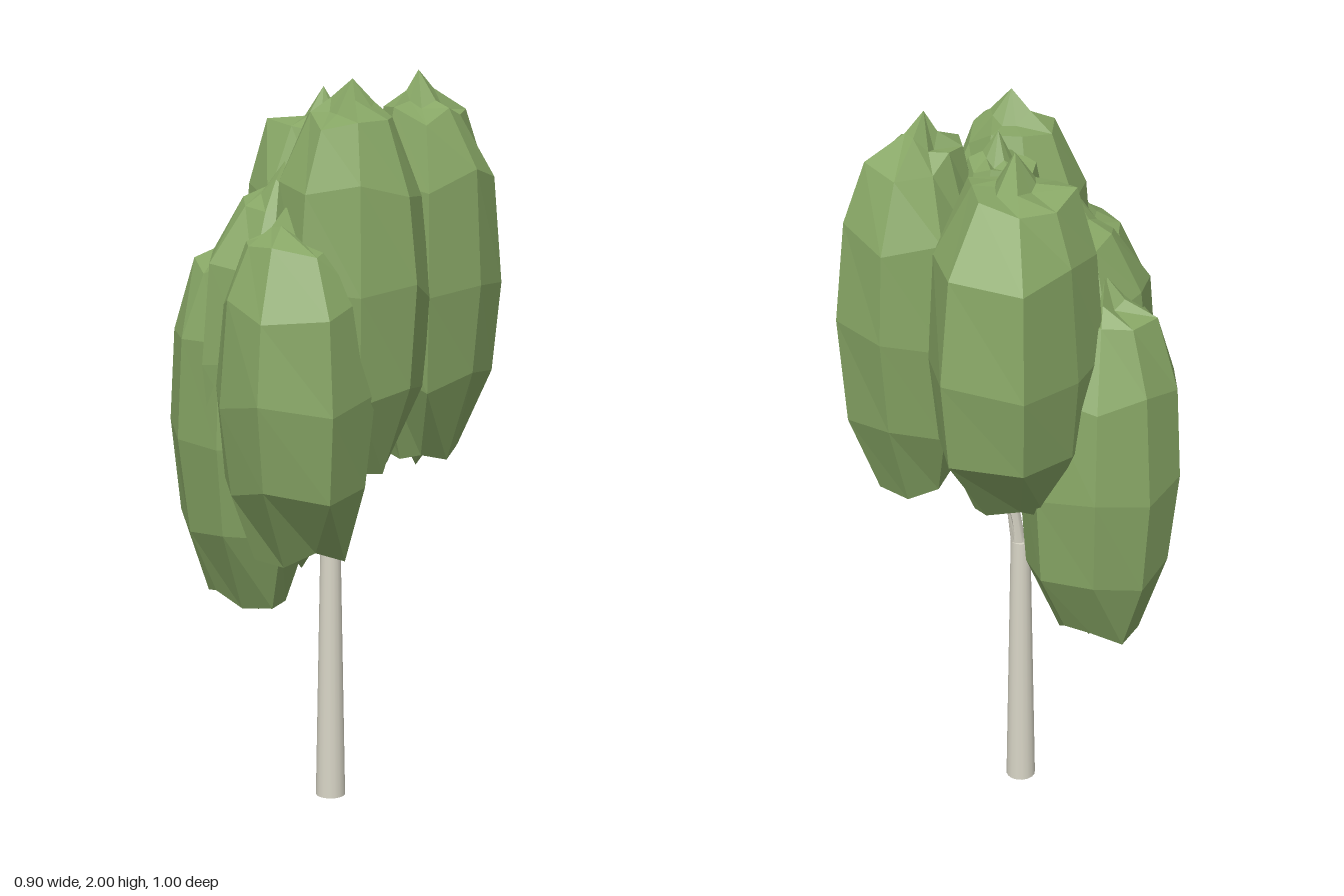
import * as THREE from 'three';

const leafMat = new THREE.MeshStandardMaterial({ color: 0x87a665, flatShading: true, side: THREE.DoubleSide });
const barkMat = new THREE.MeshStandardMaterial({ color: 0xd8d5c6 });

// Leaf clumps: top pole and base point [x, z], height range, and the widest ring
// as evenly spaced radii about the pole, starting at `turn` degrees from the back
const CLUMPS = [
  { name: 'backClump', pole: [-0.04, -0.21], base: [-0.03, -0.15], y: [0.93, 1.95], turn: -20, radii: [0.31, 0.31, 0.225, 0.2, 0.2, 0.21, 0.226, 0.225, 0.225] },
  { name: 'leftClump', pole: [0.22, -0.125], base: [0.22, -0.125], y: [0.93, 2], turn: 10, radii: [0.255, 0.25, 0.227, 0.23, 0.265, 0.19, 0.15, 0.15, 0.21] },
  { name: 'frontClump', pole: [0.065, 0.12], base: [0.07, 0.12], y: [0.94, 1.99], turn: 10, radii: [0.215, 0.21, 0.205, 0.231, 0.24, 0.235, 0.22, 0.215, 0.215] },
  { name: 'lowRightClump', pole: [-0.24, -0.09], base: [-0.21, -0.08], y: [0.52, 1.6], turn: -10, radii: [0.22, 0.24, 0.22, 0.22, 0.25, 0.27, 0.22, 0.21, 0.213] },
  { name: 'midRightClump', pole: [-0.12, 0.02], base: [-0.1, 0.05], y: [0.78, 1.77], turn: 0, radii: [0.22, 0.2, 0.2, 0.2, 0.2, 0.21, 0.24, 0.23, 0.23] },
  { name: 'lowFrontClump', pole: [-0.09, 0.22], base: [-0.06, 0.21], y: [0.72, 1.68], turn: -10, radii: [0.19, 0.19, 0.21, 0.245, 0.27, 0.284, 0.213, 0.19, 0.19] },
  { name: 'coreClump', pole: [0.05, -0.05], base: [0.05, -0.05], y: [0.94, 1.94], turn: 0, radii: Array(9).fill(0.145) },
];

// Height fraction and width fraction of each ring, bottom to top
const RINGS = [[0, 0], [0.08, 0.25], [0.05, 0.5], [0.25, 0.88], [0.49, 1], [0.74, 0.9], [0.9, 0.58], [0.93, 0.25], [1, 0]];

function seeded(seed) {
  let s = seed;
  return () => (s = (s * 16807) % 2147483647) / 2147483647 - 0.5;
}

function clumpGeometry({ pole, base, y, turn, radii }, seed) {
  const rand = seeded(seed);
  const n = radii.length, pos = [], index = [];
  const plan = radii.map((r, i) => {
    const a = THREE.MathUtils.degToRad(turn + (i * 360) / n);
    return [pole[0] + r * Math.sin(a), pole[1] - r * Math.cos(a)];
  });
  RINGS.forEach(([h, w]) => {
    const ends = w < 0.7 && w > 0;
    // below the widest ring the centre moves to the base point
    const [cx, cz] = h < 0.49 ? base : pole;
    plan.forEach(([px, pz]) => {
      // ragged ends, calmer sides
      const k = w * (w === 1 ? 1 : 1 + rand() * (ends ? 0.4 : 0.08));
      const lift = w === 0 ? 0 : rand() * 0.055;
      pos.push(
        cx + (px - cx) * k,
        y[0] + (y[1] - y[0]) * Math.max(0, h + lift),
        cz + (pz - cz) * k);
    });
  });
  for (let r = 0; r < RINGS.length - 1; r++) {
    for (let i = 0; i < n; i++) {
      const a = r * n + i, b = r * n + (i + 1) % n, c = a + n, d = b + n;
      if (r < RINGS.length - 2) index.push(a, c, d);
      if (r > 0) index.push(a, d, b);
    }
  }
  const g = new THREE.BufferGeometry();
  g.setAttribute('position', new THREE.Float32BufferAttribute(pos, 3));
  g.setIndex(index);
  const flat = g.toNonIndexed();
  flat.computeVertexNormals();
  return flat;
}

// Straight tapered limb between two points
function limb(name, from, to, r0, r1, sides = 8) {
  const a = new THREE.Vector3(...from), dir = new THREE.Vector3(...to).sub(a);
  const mesh = new THREE.Mesh(new THREE.CylinderGeometry(r1, r0, dir.length(), sides), barkMat);
  mesh.name = name;
  mesh.position.copy(a).addScaledVector(dir, 0.5);
  mesh.quaternion.setFromUnitVectors(new THREE.Vector3(0, 1, 0), dir.normalize());
  return mesh;
}

export function createModel() {
  const tree = new THREE.Group();
  tree.name = 'tree';

  // Trunk and the thin stem above the fork
  const fork = [0.025, 1, -0.07];
  tree.add(limb('trunk', [-0.007, 0, -0.05], [-0.007, 0.77, -0.05], 0.041, 0.027, 16));
  tree.add(limb('stem', [-0.004, 0.74, -0.05], fork, 0.022, 0.014));

  // Boughs rising from the stem into each clump
  const boughs = new THREE.Group();
  boughs.name = 'boughs';
  CLUMPS.forEach(({ pole, y }) => {
    const top = Math.max((y[0] + y[1]) / 2, 1.3);
    boughs.add(limb('bough', fork, [pole[0], top, pole[1]], 0.012, 0.005));
  });

  // Fine twigs around the fork
  for (let i = 0; i < 4; i++) {
    const t = i * 1.6 + 0.5, c = Math.cos(t), s = Math.sin(t);
    boughs.add(limb('twig', [-0.007 + c * 0.015, 0.76, -0.05 + s * 0.015], [-0.007 + c * 0.045, 0.89, -0.05 + s * 0.045], 0.007, 0.003, 5));
  }
  tree.add(boughs);

  // Crown
  const crown = new THREE.Group();
  crown.name = 'crown';
  CLUMPS.forEach((clump, i) => {
    const mesh = new THREE.Mesh(clumpGeometry(clump, 7919 * (i + 3)), leafMat);
    mesh.name = clump.name;
    crown.add(mesh);
  });
  tree.add(crown);
  return tree;
}
